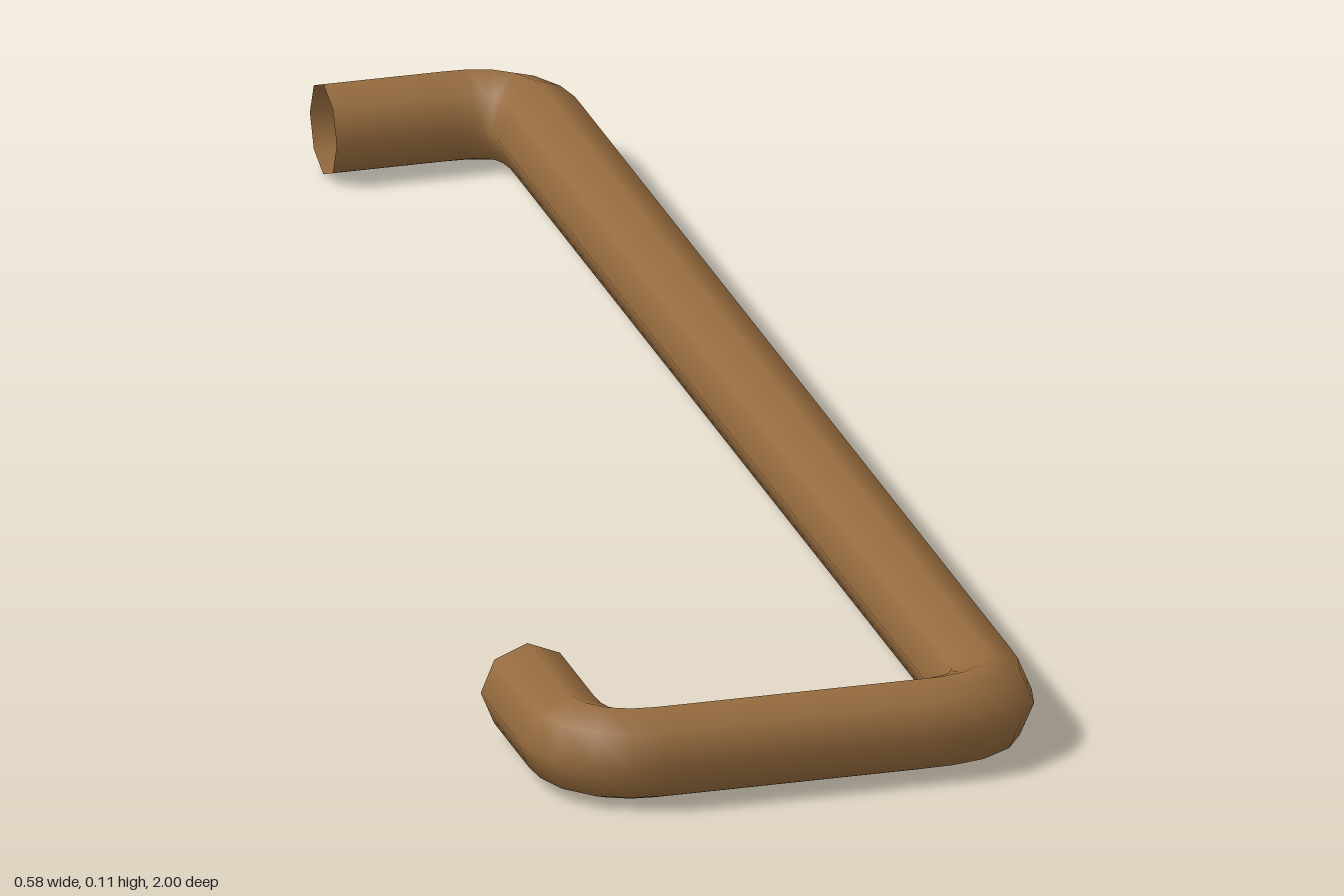
import * as THREE from 'three';

export function createModel() {
  const group = new THREE.Group();
  const radius = 0.053;
  const bend = 0.085;
  const P = (x, z) => new THREE.Vector3(x, radius, z);

  // Centreline: short top return, long shaft, bottom crossbar, short hook
  const corners = [P(0.01, -0.947), P(0.238, -0.947), P(0.238, 0.943), P(-0.24, 0.943), P(-0.24, 0.72)];

  // Straight runs joined by rounded bends
  const path = new THREE.CurvePath();
  let from = corners[0];
  for (let i = 1; i < corners.length - 1; i++) {
    const c = corners[i];
    const toward = (p) => c.clone().add(p.clone().sub(c).setLength(bend));
    const start = toward(corners[i - 1]);
    const end = toward(corners[i + 1]);
    path.add(new THREE.LineCurve3(from, start));
    path.add(new THREE.QuadraticBezierCurve3(start, c, end));
    from = end;
  }
  path.add(new THREE.LineCurve3(from, corners[corners.length - 1]));

  // Open-ended eight-sided tube with smooth shading
  const bentRod = new THREE.Mesh(
    new THREE.TubeGeometry(path, 100, radius, 8, false),
    new THREE.MeshStandardMaterial({ color: 0x966b3e, side: THREE.DoubleSide })
  );
  bentRod.name = 'bentRod';
  group.add(bentRod);
  return group;
}
